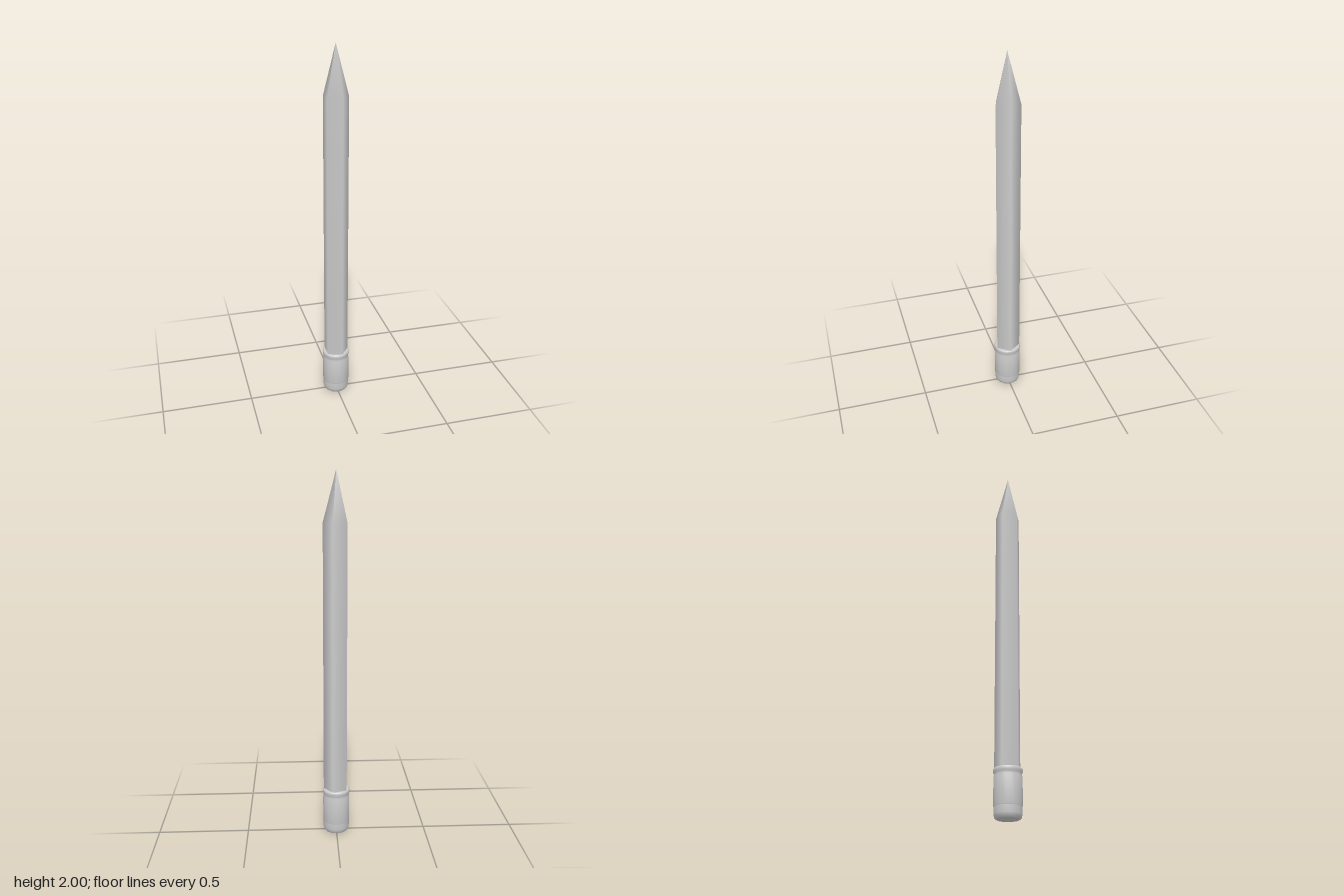
import * as THREE from 'three';
import { toCreasedNormals } from 'three/addons/utils/BufferGeometryUtils.js';

const material = new THREE.MeshStandardMaterial({ color: 0xcccccc, side: THREE.DoubleSide });

// Turned part from [radius, height] pairs, with a corner on +x
function turned(name, profile, sides, crease) {
  const points = profile.map(([r, y]) => new THREE.Vector2(r, y));
  let geometry = new THREE.LatheGeometry(points, sides, Math.PI / 2);
  if (crease) geometry = toCreasedNormals(geometry, crease);
  const mesh = new THREE.Mesh(geometry, material);
  mesh.name = name;
  return mesh;
}

export function createModel() {
  const pencil = new THREE.Group();
  pencil.name = 'pencil';

  // Five-sided shaft running into the sharpened tip, softly shaded
  pencil.add(turned('shaftAndTip', [[0.07, 0.2], [0.07, 1.73], [0, 2]], 5));

  // Eraser with a rounded lower rim
  pencil.add(turned('eraser', [
    [0, 0], [0.06, 0], [0.068, 0.008], [0.072, 0.025], [0.072, 0.07],
  ], 20, 0.7));

  // Ferrule sleeve with a raised collar, closed around the shaft
  pencil.add(turned('ferrule', [
    [0.072, 0.06], [0.0735, 0.065], [0.0735, 0.2], [0.071, 0.215], [0.071, 0.225],
    [0.0745, 0.232], [0.0745, 0.246], [0.07, 0.252], [0.05, 0.252],
  ], 20, 0.7));

  return pencil;
}
